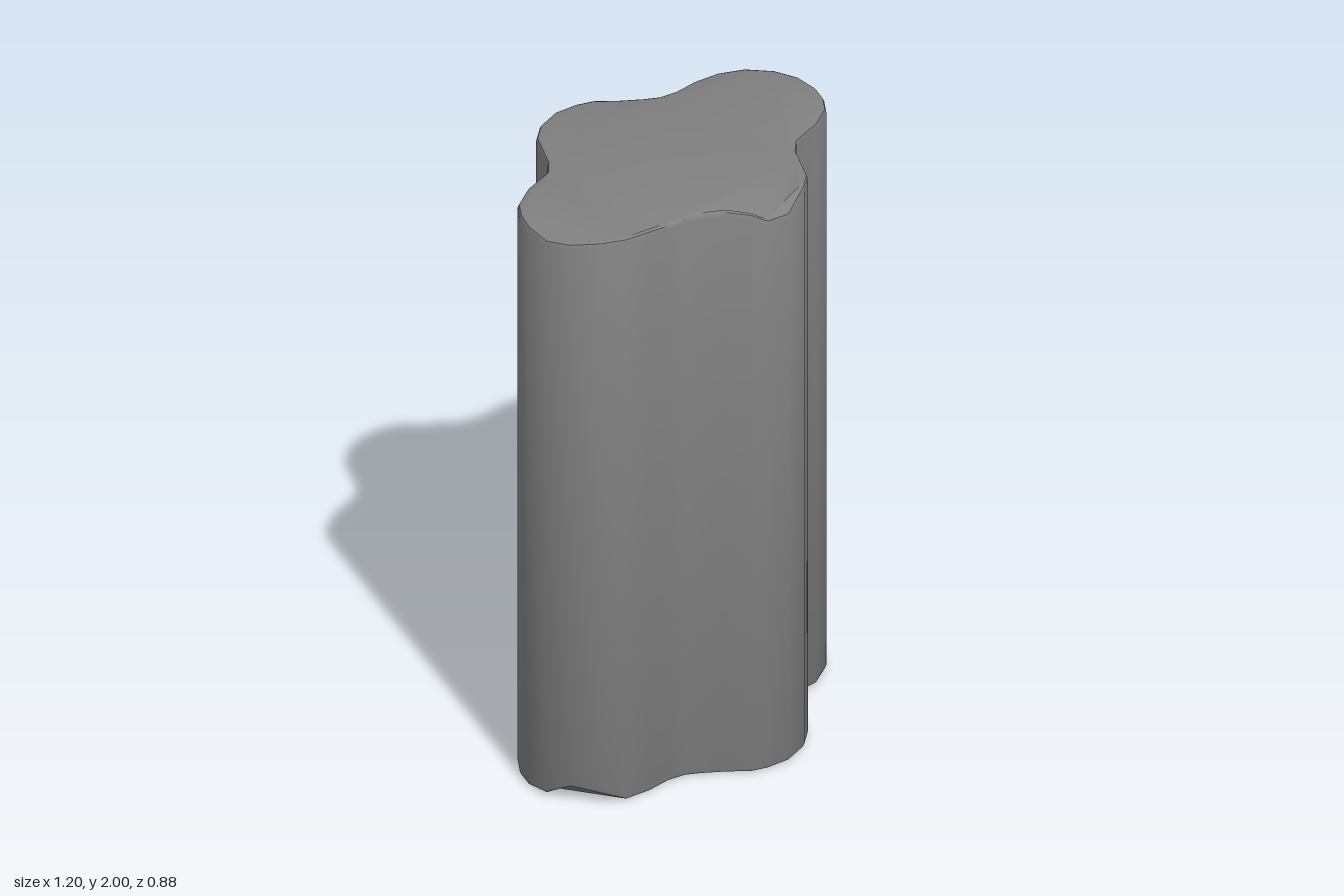
import * as THREE from 'three';
import { toCreasedNormals } from 'three/addons/utils/BufferGeometryUtils.js';

// Worn spots on the rims: x, z, radius, and how far the rim is pushed in
const topDents = [[0.17, 0.42, 0.12, 0.07], [-0.17, 0.39, 0.12, 0.02], [-0.57, 0.32, 0.15, 0.02]];
const bottomDents = [[-0.5, 0.39, 0.13, 0.07], [0.4, 0.05, 0.12, 0.03]];

function dentAt(dents, x, z) {
  return dents.reduce((sum, [dx, dz, radius, depth]) => (
    sum + depth * Math.max(0, 1 - Math.hypot(x - dx, z - dz) / radius)
  ), 0);
}

export function createModel() {
  const group = new THREE.Group();
  group.name = 'lobedColumn';

  // Half of the four-lobed outline; the other half is its half-turn copy
  const half = [
    [0.6, 0.22], [0.58, 0.31], [0.53, 0.38], [0.45, 0.43], [0.36, 0.44],
    [0.27, 0.42], [0.19, 0.385], [0.13, 0.375], [0.08, 0.385], [0, 0.41],
    [-0.07, 0.44], [-0.13, 0.44], [-0.21, 0.42], [-0.29, 0.36],
    [-0.335, 0.29], [-0.355, 0.2], [-0.37, 0.13], [-0.4, 0.07],
    [-0.5, 0], [-0.57, -0.08], [-0.595, -0.15],
  ];
  const outline = [...half, ...half.map(([x, y]) => [-x, -y])];
  const shape = new THREE.Shape(outline.map(([x, y]) => new THREE.Vector2(x, y)));

  // Upright column with slightly softened rims
  const bevel = 0.015;
  const geometry = new THREE.ExtrudeGeometry(shape, {
    depth: 2 - 2 * bevel,
    steps: 1,
    bevelThickness: bevel,
    bevelSize: bevel,
    bevelOffset: -bevel,
    bevelSegments: 2,
  });
  geometry.rotateX(-Math.PI / 2);
  geometry.translate(0, bevel, 0);

  // Press the dents into the top and bottom rims
  const position = geometry.attributes.position;
  for (let i = 0; i < position.count; i++) {
    const x = position.getX(i);
    const y = position.getY(i);
    const z = position.getZ(i);
    position.setY(i, y > 1 ? y - dentAt(topDents, x, z) : y + dentAt(bottomDents, x, z));
  }

  const column = new THREE.Mesh(
    toCreasedNormals(geometry, 0.7),
    new THREE.MeshStandardMaterial({ color: 0x808080 }),
  );
  column.name = 'column';
  group.add(column);
  return group;
}
